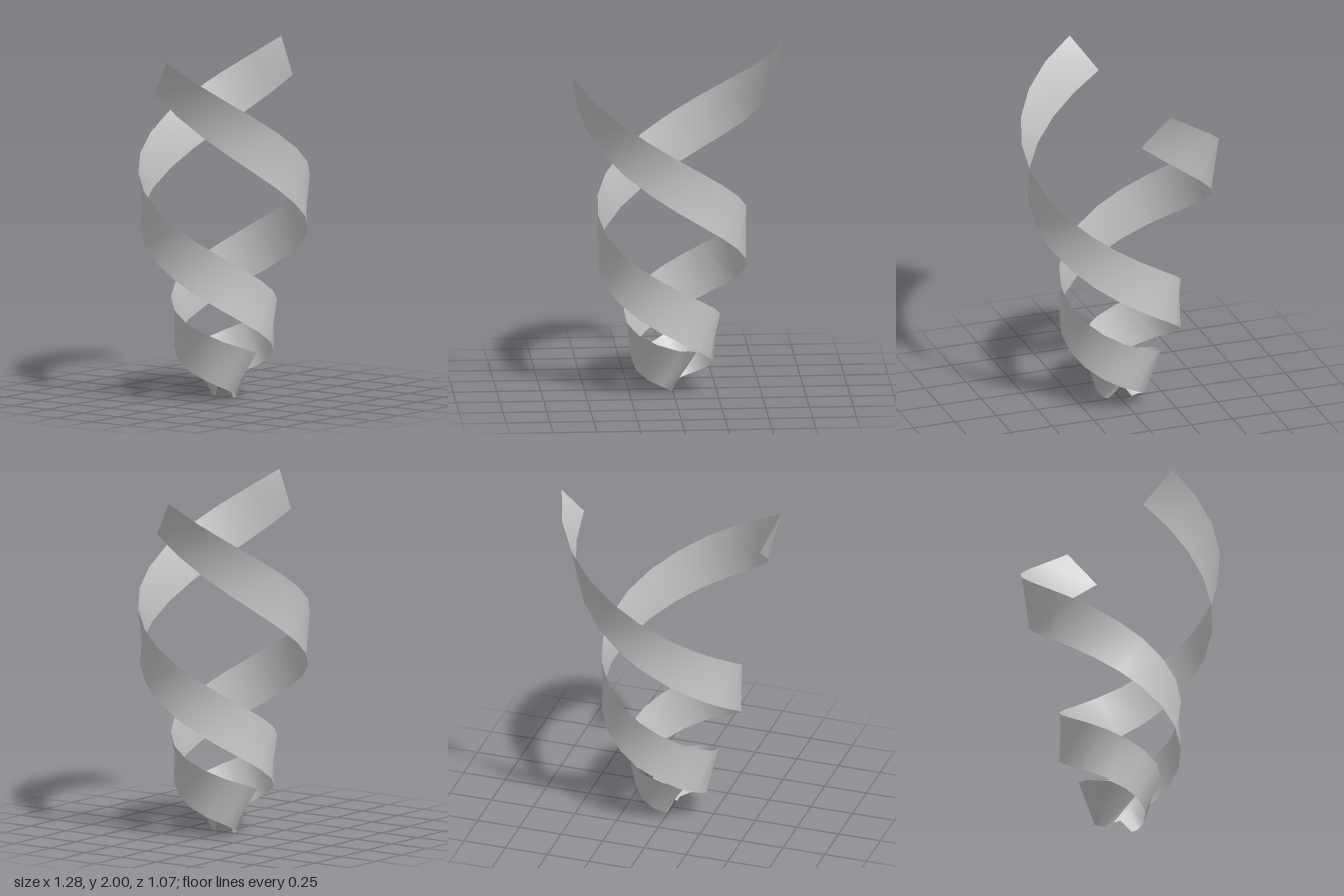
import * as THREE from 'three';

const SEGMENTS = 24;
const HALF_WIDTH = 0.132;
const SWEEP = Math.PI * 3; // one and a half turns

// Radius (x) and outward lean in radians (y), evenly spaced from bottom to top
const profile = new THREE.SplineCurve([
  [0.042, 0.67], [0.16, 0.45], [0.243, 0.2], [0.317, 0.03],
  [0.412, 0], [0.515, 0.08], [0.595, 0.36],
].map(([r, lean]) => new THREE.Vector2(r, lean)));

// Centre line of a ribbon, u = 0 at the bottom and 1 at the top
function centre(u) {
  const r = profile.getPoint(u).x;
  const a = SWEEP * (1 - u);
  const y = 0.103 + 0.1 * u + 1.697 * Math.pow(u, 2.25);
  return new THREE.Vector3(r * Math.cos(a), y, -r * Math.sin(a));
}

// Point on the ribbon's edge: side is -1 (lower) or 1 (upper)
function edgePoint(u, side) {
  const tangent = centre(Math.max(u - 0.002, 0)).sub(centre(Math.min(u + 0.002, 1))).normalize();
  const outward = new THREE.Vector3().crossVectors(tangent, new THREE.Vector3(0, 1, 0)).normalize();
  const across = new THREE.Vector3().crossVectors(outward, tangent);
  const lean = profile.getPoint(u).y;
  return centre(u)
    .addScaledVector(across, side * HALF_WIDTH * Math.cos(lean))
    .addScaledVector(outward, side * HALF_WIDTH * Math.sin(lean));
}

// Flat strip bent along the rising, widening spiral
function ribbonGeometry() {
  const geo = new THREE.PlaneGeometry(1, 1, SEGMENTS, 1);
  const pos = geo.attributes.position;
  for (let i = 0; i < pos.count; i++) {
    const t = THREE.MathUtils.clamp(0.5 - pos.getX(i), 0, 1);
    const p = edgePoint(Math.pow(t, 0.69), Math.sign(pos.getY(i)));
    pos.setXYZ(i, p.x, p.y, p.z);
  }
  geo.computeVertexNormals();
  return geo;
}

export function createModel() {
  const group = new THREE.Group();
  group.name = 'doubleSpiral';
  const material = new THREE.MeshStandardMaterial({ color: 0xcccccc, side: THREE.DoubleSide });
  const geo = ribbonGeometry();
  // Two identical ribbons, half a turn apart
  ['leftRibbon', 'rightRibbon'].forEach((name, i) => {
    const ribbon = new THREE.Mesh(geo, material);
    ribbon.name = name;
    ribbon.rotation.y = i * Math.PI;
    group.add(ribbon);
  });
  return group;
}
